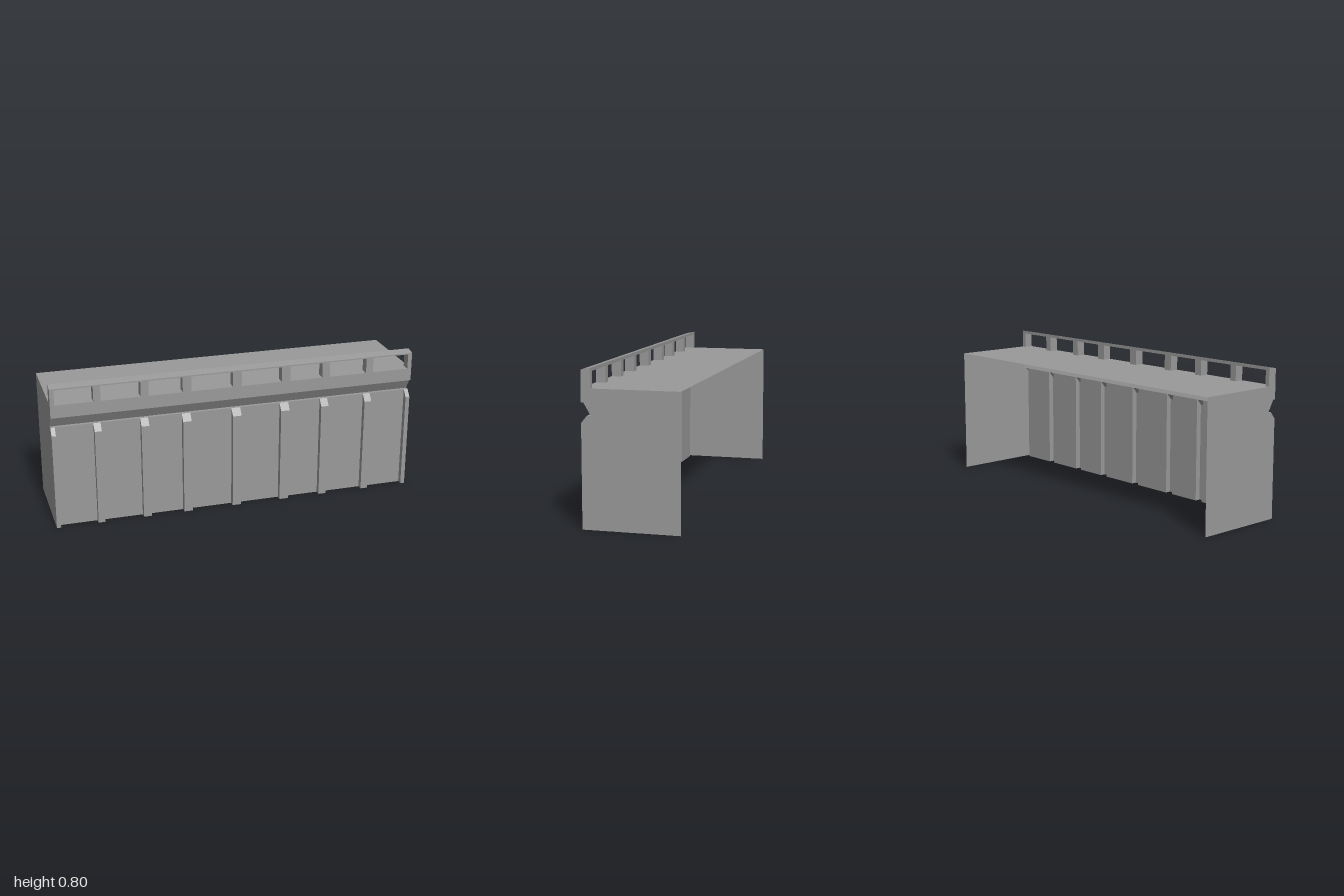
import * as THREE from 'three';
import { mergeGeometries } from 'three/addons/utils/BufferGeometryUtils.js';

// x ranges shared by the wall ribs and the railing posts
const RIBS = [
  [-1, -0.977], [-0.775, -0.737], [-0.526, -0.483], [-0.3, -0.253], [-0.025, 0.024],
  [0.247, 0.296], [0.478, 0.521], [0.732, 0.772], [0.977, 1],
];
const FRONT = 0.25, PANEL = 0.22, BACK = -0.25, INNER = 0.2;
const DECK = 0.7, LEDGE = 0.567, RAIL = 0.783;

// Sweep a [z, y] profile from x0 to x1 as flat, separate faces
function strip(profile, x0, x1) {
  const pos = [];
  for (let i = 0; i < profile.length - 1; i++) {
    const [z0, y0] = profile[i], [z1, y1] = profile[i + 1];
    pos.push(x0, y0, z0, x1, y0, z0, x1, y1, z1, x0, y0, z0, x1, y1, z1, x0, y1, z1);
  }
  const g = new THREE.BufferGeometry();
  g.setAttribute('position', new THREE.Float32BufferAttribute(pos, 3));
  g.computeVertexNormals();
  return g;
}

// Flat upright face at a given x, outlined by [z, y] points
function cheek(outline, x) {
  const shape = new THREE.Shape(outline.map(([z, y]) => new THREE.Vector2(z, y)));
  const g = new THREE.ShapeGeometry(shape).toNonIndexed();
  g.deleteAttribute('uv');
  return g.rotateY(-Math.PI / 2).translate(x, 0, 0);
}

export function createModel() {
  const group = new THREE.Group();
  const grey = new THREE.MeshStandardMaterial({ color: 0x999999, side: THREE.DoubleSide });
  grey.name = 'concrete grey';
  const add = (name, parts) => {
    const mesh = new THREE.Mesh(mergeGeometries(parts), grey);
    mesh.name = name;
    group.add(mesh);
  };

  // End walls carry the full section of the shell
  const section = [
    [BACK, 0], [FRONT, 0], [FRONT, 0.53], [PANEL, LEDGE], [INNER, LEDGE], [0.237, 0.63],
    [FRONT, 0.63], [FRONT, 0.79], [INNER, 0.8], [INNER, DECK], [BACK, DECK],
  ];
  add('leftEndWall', [cheek(section, 1)]);
  add('rightEndWall', [cheek(section, -1)]);

  // Deck, grooved cornice and handrail run the full length
  add('deck', [strip([[INNER, DECK], [BACK, DECK]], -1, 1)]);
  add('cornice', [strip([[PANEL, LEDGE], [INNER, LEDGE], [0.237, 0.63], [FRONT, 0.63], [FRONT, DECK]], -1, 1)]);
  add('handrail', [strip([[FRONT, RAIL], [FRONT, 0.79], [INNER, 0.8], [INNER, RAIL]], -1, 1)]);

  // Recessed panels, parapet ledges and rail undersides between the ribs
  for (let i = 0; i < RIBS.length - 1; i++) {
    const x0 = RIBS[i][1], x1 = RIBS[i + 1][0];
    add('wallPanel', [strip([[PANEL, 0], [PANEL, LEDGE]], x0, x1)]);
    add('parapetLedge', [strip([[FRONT, DECK], [INNER, DECK]], x0, x1)]);
    add('railUnderside', [strip([[INNER, RAIL], [FRONT, RAIL]], x0, x1)]);
  }

  // Hollow ribs with sloped caps, and hollow railing posts above them
  const ribSide = [[PANEL, 0], [FRONT, 0], [FRONT, 0.53], [PANEL, LEDGE]];
  const postSide = [[INNER, DECK], [FRONT, DECK], [FRONT, RAIL], [INNER, RAIL]];
  for (const [x0, x1] of RIBS) {
    const sides = [x0, x1].filter((x) => Math.abs(x) < 1);
    add('rib', [strip(ribSide.slice(1), x0, x1), ...sides.map((x) => cheek(ribSide, x))]);
    add('railingPost', [
      strip([[FRONT, DECK], [FRONT, RAIL]], x0, x1),
      strip([[INNER, RAIL], [INNER, DECK]], x0, x1),
      ...sides.map((x) => cheek(postSide, x)),
    ]);
  }
  return group;
}
